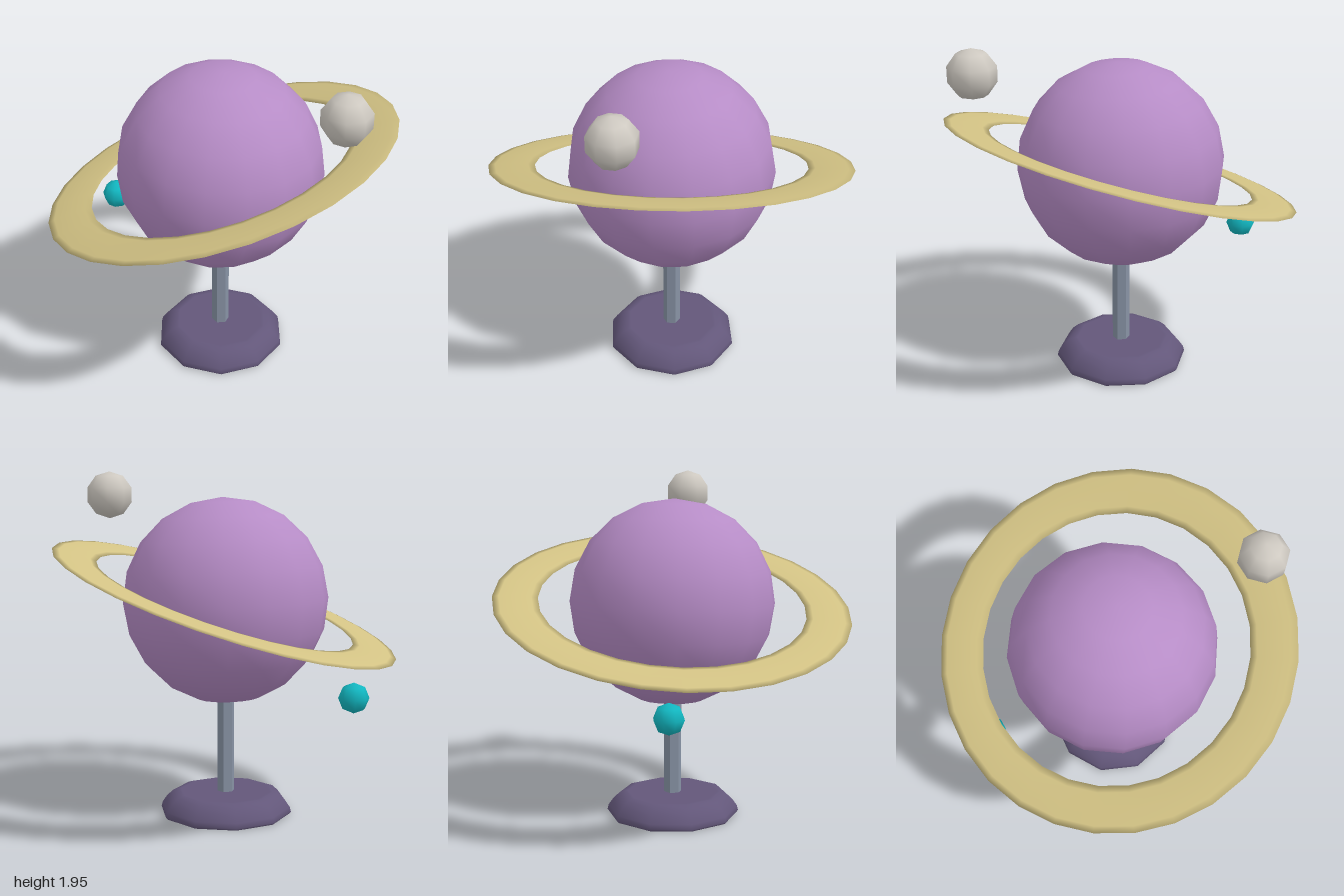
import * as THREE from 'three';

const paint = (name, color) => {
  const m = new THREE.MeshStandardMaterial({ color });
  m.name = name;
  return m;
};

export function createModel() {
  const model = new THREE.Group();
  model.name = 'planetOnStand';

  const purple = paint('planet purple', 0xb68cc6);
  const gold = paint('ring gold', 0xd2c284);
  const teal = paint('moon teal', 0x12b8c2);
  const pale = paint('moon grey', 0xcec9c1);
  const plum = paint('base plum', 0x63577a);
  const steel = paint('post steel', 0x8792a4);

  const add = (name, geometry, material, x = 0, y = 0, z = 0) => {
    const mesh = new THREE.Mesh(geometry, material);
    mesh.name = name;
    mesh.position.set(x, y, z);
    model.add(mesh);
    return mesh;
  };

  // Ten-sided base with a rounded shoulder and a crisp underside
  const profile = [
    [0.37, 0], [0.38, 0.012], [0.373, 0.04], [0.345, 0.08],
    [0.31, 0.112], [0.275, 0.124], [0.26, 0.125], [0, 0.125],
  ].map(([r, y]) => new THREE.Vector2(r, y));
  add('base', new THREE.LatheGeometry(profile, 10).rotateY(Math.PI / 2), plum);
  add('baseUnderside', new THREE.CircleGeometry(0.37, 10).rotateX(Math.PI / 2), plum);

  // Six-sided post with flat faces, reaching into the planet
  const post = new THREE.CylinderGeometry(0.05, 0.05, 0.6, 6).rotateY(Math.PI / 2).toNonIndexed();
  post.computeVertexNormals();
  add('post', post, steel, 0, 0.41, 0);

  // Planet, leaning slightly
  add('planet', new THREE.SphereGeometry(0.58, 16, 10), purple, 0, 1.23, 0).rotation.z = -0.045;

  // Tilted ring: a torus squashed almost flat
  const ringGeometry = new THREE.TorusGeometry(0.883, 0.127, 8, 28)
    .rotateX(Math.PI / 2)
    .scale(1, 0.07, 1);
  add('ring', ringGeometry, gold, 0, 1.23, 0).rotation.set(0.175, 0, 0.27);

  // Two moons
  add('largeMoon', new THREE.SphereGeometry(0.138, 8, 5), pale, 0.79, 1.81, -0.183);
  add('smallMoon', new THREE.SphereGeometry(0.085, 8, 4), teal, -0.735, 0.74, 0.243);

  return model;
}
